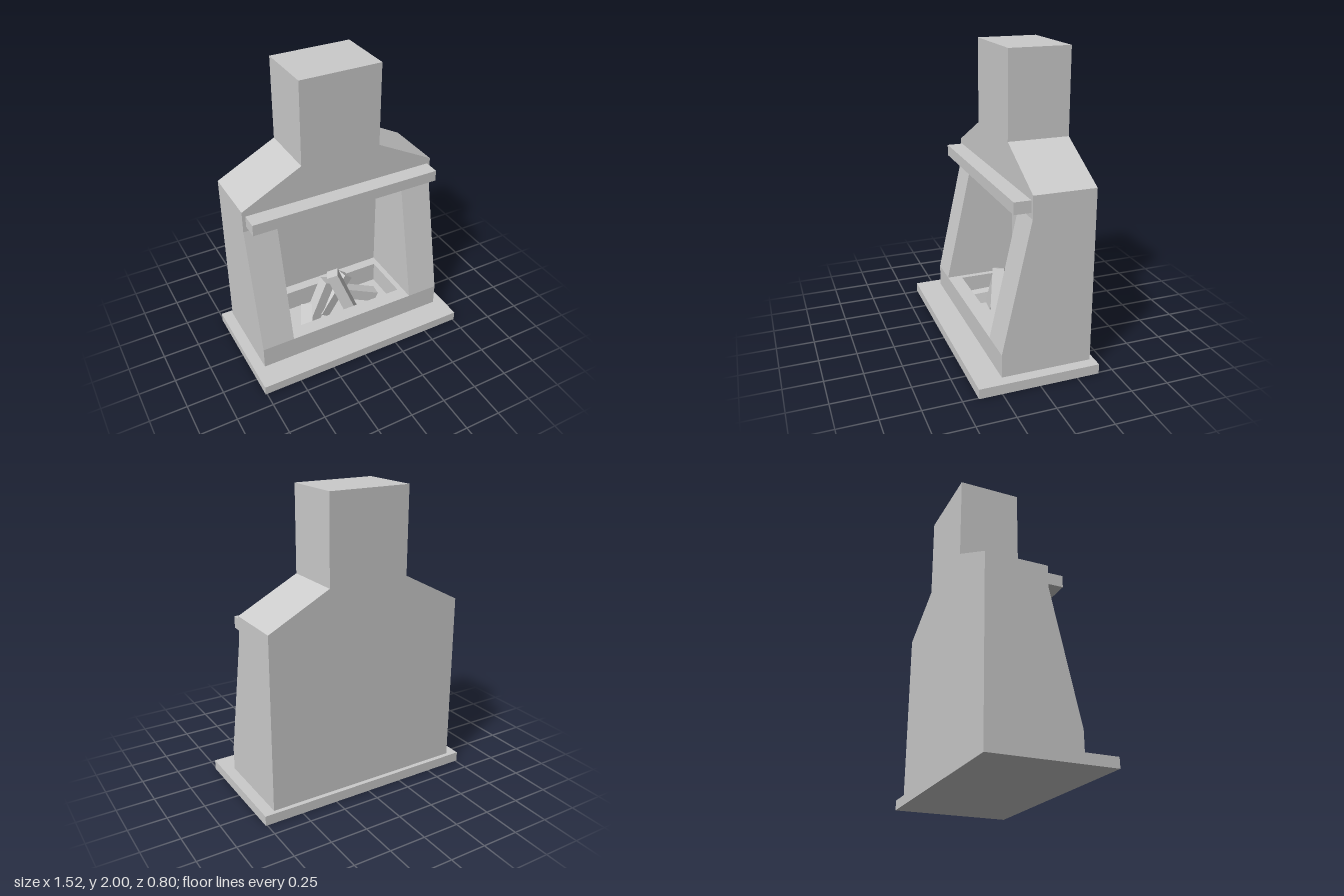
import * as THREE from 'three';

const material = new THREE.MeshStandardMaterial({ color: 0xcccccc, flatShading: true });

const polygon = (points) => new THREE.Shape(points.map(([x, y]) => new THREE.Vector2(x, y)));
const extrude = (shape, depth) => new THREE.ExtrudeGeometry(shape, { depth, bevelEnabled: false });

export function createModel() {
  const group = new THREE.Group();
  group.name = 'fireplace';

  const add = (name, geometry, parent = group) => {
    const mesh = new THREE.Mesh(geometry, material);
    mesh.name = name;
    parent.add(mesh);
    return mesh;
  };
  // Box given by its lower and upper limits
  const addBox = (name, [x0, y0, z0], [x1, y1, z1]) => {
    const box = new THREE.BoxGeometry(x1 - x0, y1 - y0, z1 - z0);
    add(name, box.translate((x0 + x1) / 2, (y0 + y1) / 2, (z0 + z1) / 2));
  };

  const W = 0.687, IN = 0.463;               // outer and opening half widths
  const BACK = -0.37, WALL = -0.28;          // rear face and firebox back
  const FOOT = 0.228, FACE = 0.04;           // front depth at the bottom and top
  const SLAB = 0.066, SILL = 0.22, LINTEL = 1.075;

  // Floor slab
  addBox('baseSlab', [-0.76, 0, -0.4], [0.76, SLAB, 0.4]);

  // Hearth with a sunken ash pit
  const hearth = polygon([[-W, -FOOT], [W, -FOOT], [W, -BACK], [-W, -BACK]]);
  hearth.holes.push(polygon([[-0.425, -0.13], [-0.425, 0.21], [0.425, 0.21], [0.425, -0.13]]));
  add('hearth', extrude(hearth, SILL - SLAB).rotateX(-Math.PI / 2).translate(0, SLAB, 0));

  // Tapered side walls: profile drawn in (-z, y), extruded along x
  const wall = polygon([[-FOOT, SILL], [-BACK, SILL], [-BACK, LINTEL], [-FACE, LINTEL]]);
  for (const [name, x] of [['leftWall', IN], ['rightWall', -W]]) {
    add(name, extrude(wall, W - IN).rotateY(Math.PI / 2).translate(x, 0, 0));
  }
  addBox('backWall', [-IN, SILL, BACK], [IN, LINTEL, WALL]);

  // Hood narrowing into the chimney
  const hood = polygon([
    [-W, LINTEL], [W, LINTEL], [W, 1.222], [0.278, 1.435],
    [0.278, 2], [-0.278, 2], [-0.278, 1.435], [-W, 1.222],
  ]);
  add('hoodAndChimney', extrude(hood, FACE - BACK).translate(0, 0, BACK));

  // Mantel shelf
  addBox('mantelShelf', [-0.665, 1.11, FACE], [0.665, 1.187, 0.15]);

  // Square logs between two end points
  const logs = new THREE.Group();
  logs.name = 'logs';
  group.add(logs);
  const ends = [
    [[0.095, 0.08, 0.05], [-0.037, 0.445, -0.02]],
    [[-0.2, 0.08, -0.03], [-0.065, 0.38, -0.04]],
    [[-0.12, 0.1, -0.03], [0.093, 0.355, -0.07]],
    [[0.32, 0.1, -0.03], [0.06, 0.215, -0.06]],
    [[-0.3, 0.11, 0.09], [-0.22, 0.16, -0.08]],
  ];
  for (const [from, to] of ends) {
    const a = new THREE.Vector3(...from), b = new THREE.Vector3(...to);
    const log = add('log', new THREE.BoxGeometry(0.08, 0.08, a.distanceTo(b)), logs);
    log.position.copy(a).add(b).multiplyScalar(0.5);
    log.lookAt(b);
  }
  return group;
}
